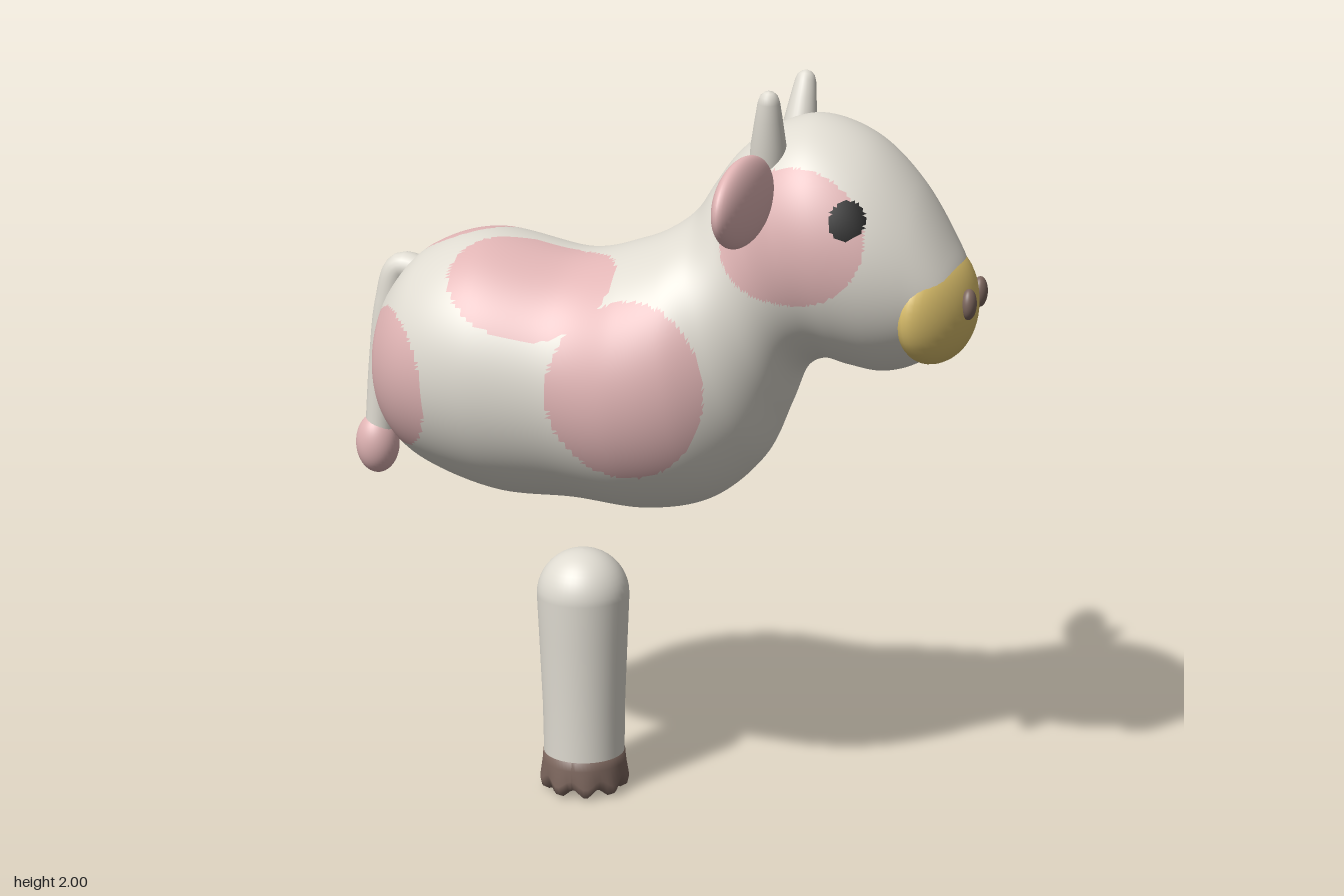
import * as THREE from 'three';

const material = (name, color) => {
  const m = new THREE.MeshStandardMaterial({ color });
  m.name = name;
  return m;
};
const V2 = (x, y) => new THREE.Vector2(x, y);
const V3 = (x, y, z) => new THREE.Vector3(x, y, z);

// Body sections: top x, top y, bottom x, bottom y, half width
const SECTIONS = [
  [-0.78, 1.21, -0.78, 1.21, 0],
  [-0.777, 1.25, -0.777, 1.17, 0.045],
  [-0.763, 1.32, -0.763, 1.10, 0.115],
  [-0.72, 1.42, -0.72, 1.00, 0.21],
  [-0.62, 1.52, -0.61, 0.92, 0.30],
  [-0.45, 1.57, -0.41, 0.86, 0.347],
  [-0.20, 1.53, -0.20, 0.857, 0.335],
  [-0.04, 1.565, 0.00, 0.845, 0.35],
  [0.05, 1.605, 0.17, 0.885, 0.33],
  [0.12, 1.66, 0.30, 1.00, 0.28],
  [0.17, 1.735, 0.365, 1.14, 0.25],
  [0.23, 1.815, 0.41, 1.25, 0.25],
  [0.32, 1.885, 0.47, 1.288, 0.272],
  [0.44, 1.918, 0.54, 1.275, 0.282],
  [0.58, 1.87, 0.62, 1.264, 0.262],
  [0.70, 1.755, 0.70, 1.285, 0.22],
  [0.795, 1.60, 0.78, 1.34, 0.16],
  [0.825, 1.53, 0.815, 1.40, 0.08],
  [0.83, 1.46, 0.83, 1.46, 0],
];

// Painted areas as ellipsoids: centre, then radii
const PATCHES = [
  [0.01, 1.228, 0.5, 0.222, 0.262, 0.49],
  [-0.28, 1.486, 0.193, 0.225, 0.183, 0.183],
  [-0.70, 1.19, 0.22, 0.19, 0.195, 0.19],
  [-0.55, 1.50, -0.13, 0.16, 0.185, 0.185],
  [-0.20, 1.285, -0.335, 0.27, 0.235, 0.235],
  [0.41, 1.65, 0.6, 0.26, 0.232, 0.55],
  [0.41, 1.65, -0.6, 0.26, 0.232, 0.55],
];
const EYES = [1, -1].map((s) => [0.565, 1.695, 0.25 * s, 0.043, 0.048, 0.15]);

const inside = (p, [cx, cy, cz, rx, ry, rz]) =>
  ((p.x - cx) / rx) ** 2 + ((p.y - cy) / ry) ** 2 + ((p.z - cz) / rz) ** 2 < 1;

// Lofted torso, neck and head; faces sorted into coat, patch and eye groups
function bodyGeometry() {
  const top = new THREE.CatmullRomCurve3(SECTIONS.map((s) => V3(s[0], s[1], s[4])), false, 'catmullrom');
  const bottom = new THREE.CatmullRomCurve3(SECTIONS.map((s) => V3(s[2], s[3], 0)), false, 'catmullrom');
  const rings = (SECTIONS.length - 1) * 12, segs = 200;
  const points = [];
  for (let i = 0; i <= rings; i++) {
    const t = top.getPoint(i / rings), b = bottom.getPoint(i / rings);
    for (let j = 0; j < segs; j++) {
      const a = (j / segs) * Math.PI * 2, k = (1 + Math.cos(a)) / 2;
      points.push(V3(b.x + (t.x - b.x) * k, b.y + (t.y - b.y) * k, Math.max(t.z, 0) * Math.sin(a)));
    }
  }
  const lists = [[], [], []];
  const centre = V3(0, 0, 0);
  const addFace = (a, b, c) => {
    centre.copy(points[a]).add(points[b]).add(points[c]).divideScalar(3);
    const isIn = (e) => inside(centre, e);
    lists[EYES.some(isIn) ? 2 : PATCHES.some(isIn) ? 1 : 0].push(a, b, c);
  };
  for (let i = 0; i < rings; i++) {
    for (let j = 0; j < segs; j++) {
      const a = i * segs + j, b = i * segs + ((j + 1) % segs);
      addFace(a, b, a + segs);
      addFace(b, b + segs, a + segs);
    }
  }
  const g = new THREE.BufferGeometry().setFromPoints(points);
  g.setIndex(lists.flat());
  let start = 0;
  lists.forEach((list, m) => {
    g.addGroup(start, list.length, m);
    start += list.length;
  });
  g.computeVertexNormals();
  return g;
}

// Applies a rule to every vertex
function reshape(g, rule) {
  const p = g.attributes.position, v = V3(0, 0, 0);
  for (let i = 0; i < p.count; i++) {
    rule(v.fromBufferAttribute(p, i));
    p.setXYZ(i, v.x, v.y, v.z);
  }
  g.computeVertexNormals();
  return g;
}

export function createModel() {
  const coat = material('coat', 0xdfdbd1);
  const pink = material('pink', 0xe0b4b4);
  const yellow = material('muzzleYellow', 0xdcc06c);
  const brown = material('hoofBrown', 0x7d675e);
  const black = material('eyeBlack', 0x0a0a0a);

  const model = new THREE.Group();
  model.name = 'cow';
  const add = (name, geometry, mat, x = 0, y = 0, z = 0) => {
    const mesh = new THREE.Mesh(geometry, mat);
    mesh.name = name;
    mesh.position.set(x, y, z);
    model.add(mesh);
    return mesh;
  };
  const ball = () => new THREE.SphereGeometry(1, 40, 28);

  add('body', bodyGeometry(), [coat, pink, black]);

  // Wide muzzle wrapped back around the face
  add('muzzle', reshape(ball(), (v) => {
    const z2 = v.z * v.z;
    v.set(v.x * 0.09 - 0.05 * z2, v.y * 0.142 * (1 + 0.3 * z2), v.z * 0.22);
  }), yellow, 0.765, 1.443, 0);

  const hornProfile = [V2(0.048, -0.03), V2(0.045, 0.03), V2(0.035, 0.1), V2(0.028, 0.145),
    V2(0.022, 0.162), V2(0.012, 0.171), V2(0, 0.174)];
  for (const side of [1, -1]) {
    const label = side > 0 ? 'right' : 'left';
    add(label + 'Nostril', ball(), brown, 0.845, 1.465, 0.077 * side).scale.set(0.02, 0.04, 0.028);

    const ear = add(label + 'Ear', ball(), pink, 0.33, 1.75, 0.36 * side);
    ear.scale.set(0.045, 0.11, 0.17);
    ear.rotation.set(0.1 * side, -0.13 * side, 0);

    const horn = add(label + 'Horn', new THREE.LatheGeometry(hornProfile, 28), coat, 0.34, 1.83, 0.155 * side);
    horn.rotation.set(0.24 * side, 0, -0.06);
  }

  // Tail and tuft
  const tailPath = new THREE.CatmullRomCurve3([V3(-0.64, 1.43, 0), V3(-0.72, 1.445, 0),
    V3(-0.755, 1.35, 0), V3(-0.778, 1.18, 0), V3(-0.795, 0.98, 0)]);
  add('tail', new THREE.TubeGeometry(tailPath, 48, 0.042, 20), coat);
  add('tailTuft', ball(), pink, -0.804, 0.948, 0).scale.set(0.06, 0.085, 0.06);

  // Single separate leg with a domed top
  const legProfile = [V2(0.112, 0.1), V2(0.114, 0.25), V2(0.122, 0.45)];
  for (let i = 0; i <= 12; i++) {
    const a = (i / 12) * Math.PI / 2;
    legProfile.push(V2(0.127 * Math.cos(a), 0.567 + 0.127 * Math.sin(a)));
  }
  add('leg', new THREE.LatheGeometry(legProfile, 48), coat, -0.21, 0, 0);

  // Hoof with a scalloped lower rim
  const hoofProfile = [V2(0, 0.012), V2(0.1, 0.012), V2(0.117, 0.022), V2(0.122, 0.045),
    V2(0.116, 0.085), V2(0.114, 0.11), V2(0.1, 0.112)];
  add('hoof', reshape(new THREE.LatheGeometry(hoofProfile, 64), (v) => {
    const r = Math.hypot(v.x, v.z);
    if (v.y > 0.06 || r < 0.05) return;
    const wave = Math.cos(9 * Math.atan2(v.x, v.z));
    v.y += 0.011 * wave;
    v.x *= 1 - 0.025 * wave;
    v.z *= 1 - 0.025 * wave;
  }), brown, -0.21, 0, 0);

  return model;
}
